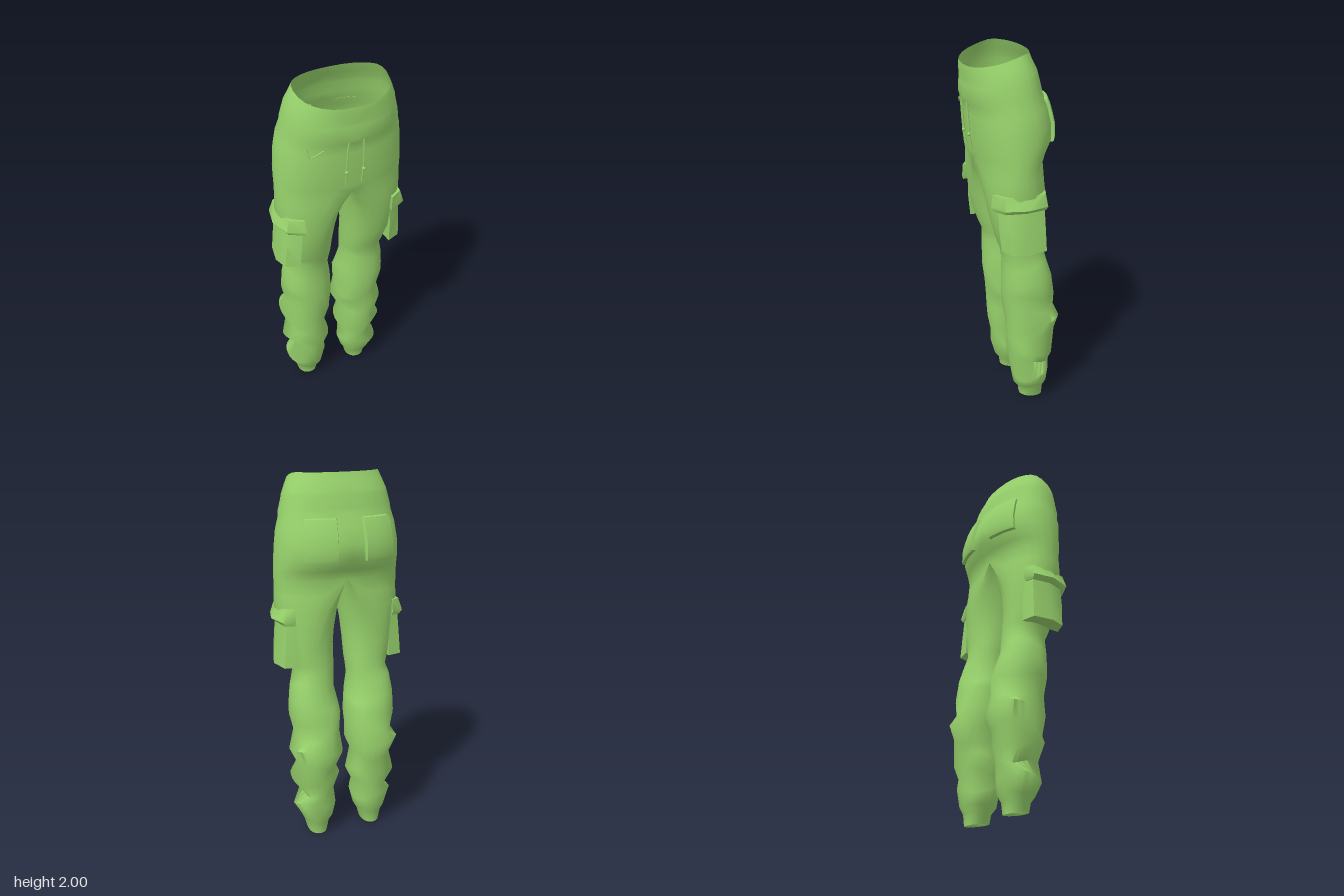
import * as THREE from 'three';
import { toCreasedNormals } from 'three/addons/utils/BufferGeometryUtils.js';

const green = new THREE.MeshStandardMaterial({ color: 0x98d36c, side: THREE.DoubleSide });
green.name = 'greenCloth';

const OUT = 14, IN = 10; // points on the outer half and on the inseam half of a section

// Hips, top to crotch: front y, back y, half width, front z, back z, z of the widest point
const HIPS = [
  [1.93, 2.0, 0.245, 0.23, -0.085, 0.05],
  [1.9, 1.955, 0.264, 0.232, -0.102, 0.04],
  [1.85, 1.91, 0.284, 0.226, -0.125, 0.035],
  [1.83, 1.89, 0.288, 0.228, -0.13, 0.03],
  [1.76, 1.83, 0.305, 0.23, -0.145, 0.03],
  [1.735, 1.8, 0.308, 0.218, -0.15, 0.025],
  [1.68, 1.74, 0.325, 0.216, -0.178, 0.02],
  [1.6, 1.65, 0.337, 0.21, -0.203, 0.015],
  [1.54, 1.57, 0.342, 0.204, -0.203, 0.015],
  [1.48, 1.51, 0.345, 0.197, -0.165, 0.015],
  [1.44, 1.46, 0.345, 0.19, -0.143, 0.015],
];
// Legs, crotch to hem: y, inner x, outer x, front z, back z, flatness of the inseam
const LEGS = [
  [1.38, 0.01, 0.345, 0.183, -0.146, 0.75],
  [1.3, 0.02, 0.345, 0.17, -0.146, 0.45],
  [1.2, 0.033, 0.325, 0.155, -0.142, 0.2],
  [1.1, 0.04, 0.305, 0.135, -0.14, 0],
  [1.0, 0.042, 0.28, 0.105, -0.142, 0],
  [0.95, 0.046, 0.265, 0.085, -0.145, 0],
  [0.88, 0.05, 0.285, 0.08, -0.157, 0],
  [0.78, 0.03, 0.298, 0.08, -0.19, 0],
  [0.7, 0.022, 0.3, 0.08, -0.208, 0],
  [0.6, 0.032, 0.275, 0.07, -0.21, 0],
  [0.52, 0.02, 0.31, 0.058, -0.238, 0],
  [0.43, 0.065, 0.265, 0.057, -0.22, 0],
  [0.34, 0.03, 0.303, 0.048, -0.2, 0],
  [0.26, 0.07, 0.24, 0.038, -0.195, 0],
  [0.18, 0.052, 0.288, 0.028, -0.18, 0],
  [0.1, 0.075, 0.245, 0.012, -0.18, 0],
  [0.065, 0.095, 0.23, -0.016, -0.158, 0],
  [0.01, 0.11, 0.215, -0.02, -0.155, 0],
  [0.02, 0.12, 0.205, -0.03, -0.145, 0],
  [0.08, 0.12, 0.205, -0.03, -0.145, 0],
];

const soft = (v, e) => Math.sign(v) * Math.abs(v) ** e;

// Point on the hips at a fractional row k and angle a (+90 deg front, 0 side, -90 deg back)
function hipPoint(k, a, off = 0) {
  const i = Math.min(Math.floor(k), HIPS.length - 2);
  const [yf, yb, hw, zf, zb, zc] = HIPS[i].map((v, n) => THREE.MathUtils.lerp(v, HIPS[i + 1][n], k - i));
  const c = soft(Math.max(0, Math.cos(a)), 0.85), s = soft(Math.sin(a), 0.9);
  const z = zc + s * (s > 0 ? zf - zc : zc - zb);
  const t = Math.max(0, ((z - zb) / (zf - zb) - 0.27) / 0.73);
  return [hw * c + off * Math.cos(a), yb + (yf - yb) * t, z + off * Math.sin(a)];
}

function legPoint([y, xi, xo, zf, zb, flat], row, j) {
  const a = j <= OUT ? Math.PI * (0.5 - j / OUT) : -Math.PI * (0.5 + (j - OUT) / IN);
  const c = Math.cos(a), s = Math.sin(a), rx = (xo - xi) / 2;
  const round = xi + rx + rx * soft(c, 0.9);
  const dShape = xi + (xo - xi) * soft(Math.max(0, c), 0.85);
  const hem = y < 0.05 ? 0.01 * s : 0;
  const fold = y < 0.95 && y > 0.15 ? 0.022 * Math.sin(2 * a) * (row % 4 < 2 ? 1 : -1) : 0;
  return [THREE.MathUtils.lerp(round, dShape, flat), y + hem + fold, (zf + zb) / 2 + ((zf - zb) / 2) * soft(s, 0.9)];
}

// Skin over rows of points; rows from closedFrom on are joined into loops
function skin(rows, { closedFrom = Infinity, caps = false, crease = 0.9, sides = [1] } = {}) {
  const pos = [];
  for (const s of sides) {
    const tri = (...p) => (s > 0 ? p : p.reverse()).forEach(([x, y, z]) => pos.push(x * s, y, z));
    for (let k = 0; k < rows.length - 1; k++) {
      const [u, d] = [rows[k], rows[k + 1]], n = u.length;
      const last = k >= closedFrom ? n : (closedFrom === Infinity ? n - 1 : OUT);
      for (let j = 0; j < last; j++) {
        const m = (j + 1) % n;
        tri(u[j], d[j], u[m]);
        tri(u[m], d[j], d[m]);
      }
    }
    if (caps) {
      const top = rows[0], low = rows[rows.length - 1];
      for (let j = 1; j < top.length - 1; j++) {
        tri(top[0], top[j], top[j + 1]);
        tri(low[0], low[j + 1], low[j]);
      }
    }
  }
  const g = new THREE.BufferGeometry();
  g.setAttribute('position', new THREE.Float32BufferAttribute(pos, 3));
  return toCreasedNormals(g, crease);
}

export function createModel() {
  const model = new THREE.Group();
  model.name = 'cargoPants';
  const add = (name, geo) => {
    const mesh = new THREE.Mesh(geo, green);
    mesh.name = name;
    model.add(mesh);
  };

  // Hips and both legs as one skin, split at the crotch
  const rows = HIPS.map((r, k) => Array.from({ length: OUT + IN }, (_, j) => {
    if (j <= OUT) return hipPoint(k, Math.PI * (0.5 - j / OUT));
    const [yf, yb, , zf, zb] = r, t = 0.5 - 0.5 * Math.cos(Math.PI * (j - OUT) / IN);
    return [0, yb + (yf - yb) * t, zb + (zf - zb) * t];
  }));
  LEGS.forEach((r, k) => rows.push(Array.from({ length: OUT + IN }, (_, j) => legPoint(r, k, j))));
  add('trousers', skin(rows, { closedFrom: HIPS.length - 1, crease: 1.2, sides: [1, -1] }));

  // Plan outlines run from front to back around the outside of the thigh
  const level = (y, plan) => plan.map(([x, z]) => [x, y, z]);
  const pocket = [
    level(1.25, [[0.25, 0.135], [0.32, 0.1], [0.34, 0.01], [0.32, -0.09], [0.26, -0.11]]),
    level(1.13, [[0.26, 0.135], [0.33, 0.1], [0.35, 0.01], [0.33, -0.095], [0.26, -0.112]]),
    level(1.0, [[0.265, 0.122], [0.34, 0.09], [0.362, 0.01], [0.34, -0.1], [0.26, -0.115]]),
  ];
  const flap = [
    level(1.315, [[0.25, 0.165], [0.32, 0.12], [0.338, 0.015], [0.325, -0.09], [0.28, -0.11]]),
    level(1.25, [[0.245, 0.172], [0.338, 0.13], [0.37, 0.015], [0.345, -0.1], [0.28, -0.118]]),
    level(1.228, [[0.25, 0.165], [0.325, 0.12], [0.345, 0.015], [0.33, -0.095], [0.28, -0.11]]),
  ];

  // Raised seat pocket following the hip surface
  const seat = [];
  for (let i = 0; i <= 8; i++) {
    const k = 5.3 + 2.9 * [0, 0.02, 0.2, 0.4, 0.6, 0.75, 0.9, 0.98, 1][i];
    seat.push(Array.from({ length: 9 }, (_, j) => {
      const a = -0.83 - 0.58 * [0, 0.03, 0.2, 0.35, 0.5, 0.65, 0.8, 0.97, 1][j];
      const rim = i === 0 || i === 8 || j === 0 || j === 8;
      return hipPoint(k, a, rim ? -0.004 : 0.016);
    }));
  }

  for (const s of [1, -1]) {
    const side = s > 0 ? 'left' : 'right';
    add(side + 'CargoPocket', skin(pocket, { closedFrom: 0, caps: true, sides: [s] }));
    add(side + 'CargoFlap', skin(flap, { closedFrom: 0, caps: true, sides: [s] }));
    add(side + 'SeatPocket', skin(seat, { sides: [s] }));

    // Drawstring with a knot near its end
    const cord = new THREE.CatmullRomCurve3([[0.04, 1.75, 0.226], [0.045, 1.66, 0.221], [0.046, 1.58, 0.216], [0.043, 1.5, 0.204]]
      .map(([x, y, z]) => new THREE.Vector3(x * s, y, z)));
    add(side + 'Drawstring', new THREE.TubeGeometry(cord, 12, 0.005, 6));
    add(side + 'DrawstringKnot', new THREE.SphereGeometry(0.01, 8, 6).translate(0.046 * s, 1.58, 0.218));
  }

  // Small cord loop hanging at the right hip
  const loop = [[6, 0.8], [6.4, 0.83], [6.75, 0.9], [6.5, 1.0], [6.05, 1.1]].map(([k, a]) => {
    const [x, y, z] = hipPoint(k - 0.75, a, 0.006);
    return new THREE.Vector3(-x, y, z);
  });
  add('hipCord', new THREE.TubeGeometry(new THREE.CatmullRomCurve3(loop), 20, 0.004, 6));

  return model;
}
